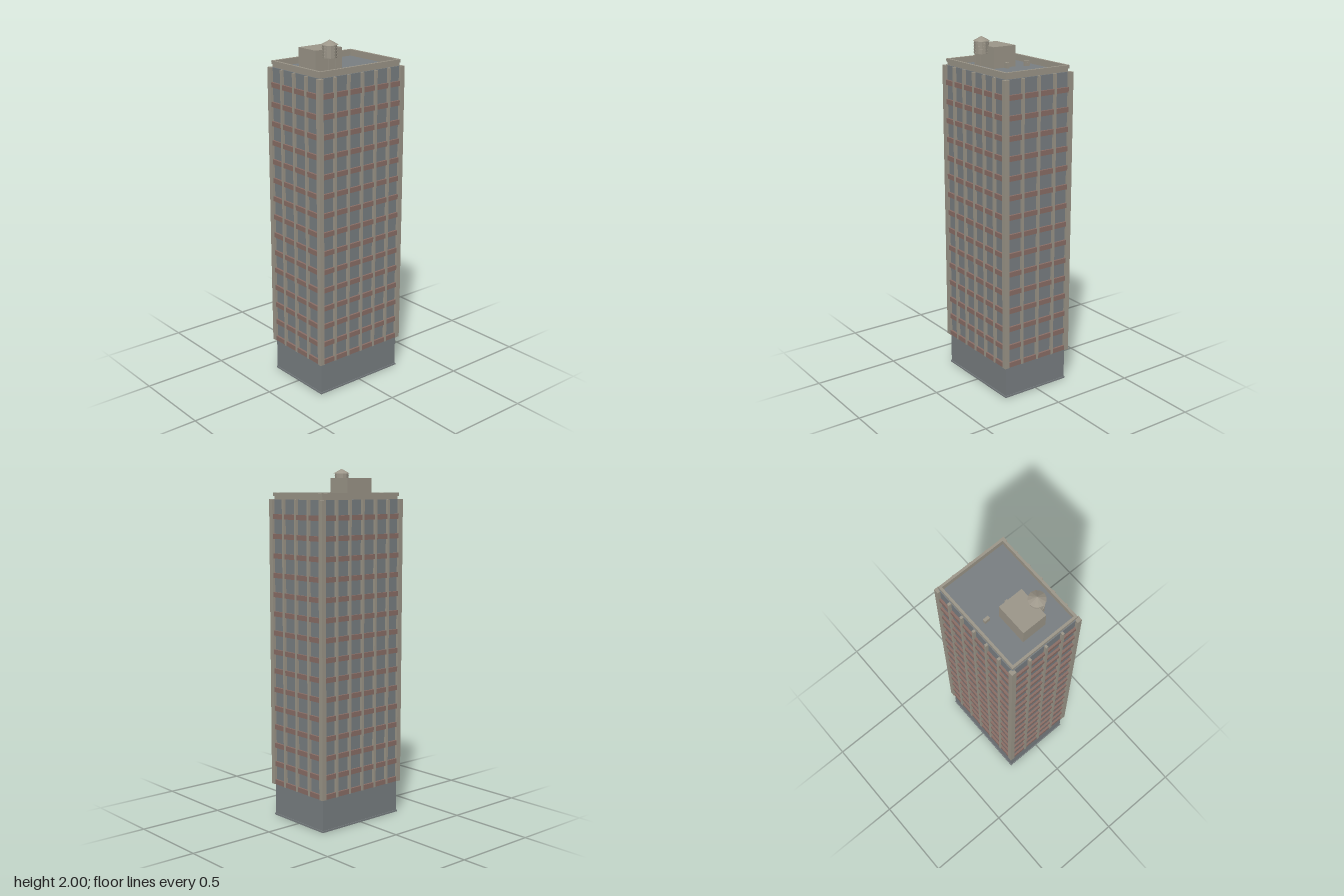
import * as THREE from 'three';

export function createModel() {
  const model = new THREE.Group();
  model.name = 'officeTower';
  const mat = (name, color) => {
    const m = new THREE.MeshStandardMaterial({ color });
    m.name = name;
    return m;
  };
  const slate = mat('slate glass', 0x7a8083);
  const stone = mat('limestone', 0x9d978a);
  const brick = mat('brick', 0x8b6f67);

  const add = (parent, name, geo, material, x, y, z) => {
    const mesh = new THREE.Mesh(geo, material);
    mesh.name = name;
    mesh.position.set(x, y, z);
    parent.add(mesh);
    return mesh;
  };
  // Box given by its centre in x and z, and its bottom and top
  const box = (parent, name, material, w, d, y0, y1, x = 0, z = 0) =>
    add(parent, name, new THREE.BoxGeometry(w, y1 - y0, d), material, x, (y0 + y1) / 2, z);
  // Rectangular frame lying flat
  const ring = (name, material, hx, hz, t, y0, y1) => {
    const rect = (P, a, b) => new P([[-a, -b], [a, -b], [a, b], [-a, b]].map(p => new THREE.Vector2(...p)));
    const shape = rect(THREE.Shape, hx, hz);
    shape.holes.push(rect(THREE.Path, hx - t, hz - t));
    const geo = new THREE.ExtrudeGeometry(shape, { depth: y1 - y0, bevelEnabled: false });
    geo.rotateX(-Math.PI / 2);
    add(model, name, geo, material, 0, y0, 0);
  };

  const Y0 = 0.19, Y1 = 1.83, floors = 15, pitch = (Y1 - Y0) / floors;
  const HX = 0.284, HZ = 0.211;

  // Core: ground floor, glazing and roof deck
  box(model, 'core', slate, HX * 2, HZ * 2, 0.008, Y1);
  ring('plinth', slate, HX + 0.004, HZ + 0.004, 0.015, 0, 0.01);

  // Corner piers
  for (const sx of [-1, 1]) for (const sz of [-1, 1])
    box(model, 'cornerPier', stone, 0.028, 0.028, Y0, Y1, sx * 0.286, sz * 0.213);

  // One facade facing +z: slim piers and a brick spandrel on every floor
  const facade = (name, half, depth, bays, angle) => {
    const g = new THREE.Group();
    g.name = name;
    g.rotation.y = angle;
    const bay = half * 2 / bays;
    for (let i = 1; i < bays; i++)
      box(g, 'pier', stone, 0.014, 0.016, Y0, Y1, -half + i * bay, depth + 0.008);
    for (let f = 0; f < floors; f++) {
      const y = Y0 + f * pitch;
      box(g, 'spandrel', brick, half * 2 - 0.022, 0.012, y, y + 0.028, 0, depth + 0.006);
    }
    model.add(g);
  };
  facade('frontFacade', 0.286, HZ, 6, 0);
  facade('backFacade', 0.286, HZ, 6, Math.PI);
  facade('leftFacade', 0.213, HX, 4, Math.PI / 2);
  facade('rightFacade', 0.213, HX, 4, -Math.PI / 2);

  // Parapet with a projecting coping
  ring('parapet', stone, 0.279, 0.206, 0.009, Y1, 1.848);
  ring('coping', stone, HX, HZ, 0.014, 1.848, 1.866);

  // Rooftop machine room and vents
  box(model, 'machineRoom', stone, 0.182, 0.145, Y1, 1.948, -0.111, 0);
  box(model, 'roofVent', stone, 0.03, 0.017, Y1, 1.86, 0, 0);
  box(model, 'roofVent', stone, 0.017, 0.032, Y1, 1.86, 0, -0.136);
  box(model, 'ventPipe', stone, 0.004, 0.016, Y1, 1.85, 0.009, -0.14);

  // Water tank on four legs, with hoops and a conical roof
  const tank = new THREE.Group();
  tank.name = 'waterTank';
  tank.position.set(-0.117, 0, 0.087);
  const cyl = (name, r, y0, y1) =>
    add(tank, name, new THREE.CylinderGeometry(r, r, y1 - y0, 12), stone, 0, (y0 + y1) / 2, 0);
  cyl('tankBody', 0.04, 1.905, 1.976);
  for (const y of [1.91, 1.926, 1.942, 1.958]) cyl('tankHoop', 0.043, y, y + 0.004);
  add(tank, 'tankRoof', new THREE.ConeGeometry(0.047, 0.026, 12), stone, 0, 1.987, 0);
  for (const sx of [-1, 1]) for (const sz of [-1, 1])
    box(tank, 'tankLeg', stone, 0.006, 0.006, Y1, 1.906, sx * 0.025, sz * 0.025);
  model.add(tank);

  // Flat faces throughout
  for (const m of [slate, stone, brick]) m.flatShading = true;
  return model;
}
